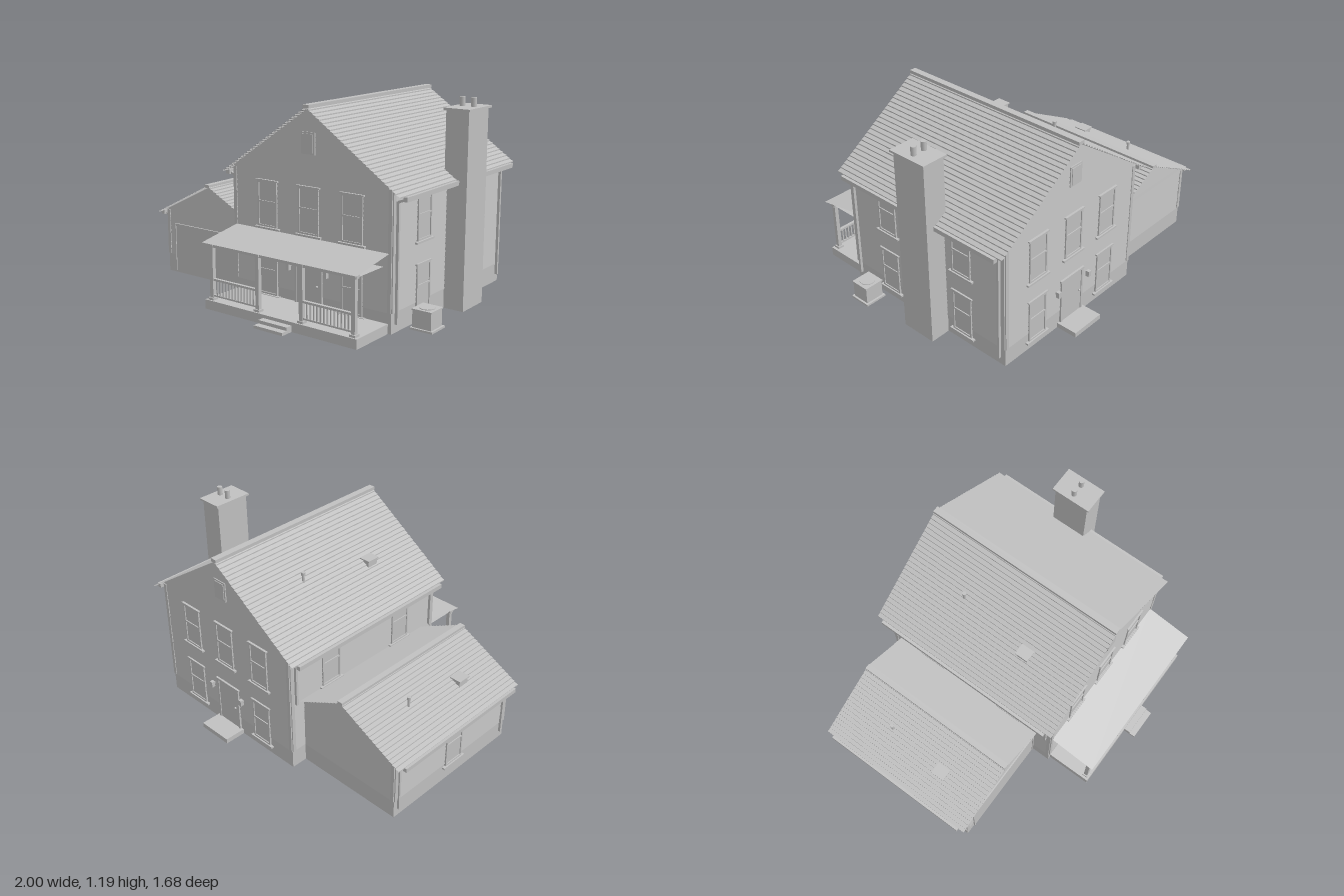
import * as THREE from 'three';

const grey = new THREE.MeshStandardMaterial({ color: 0xc0c0c0, side: THREE.DoubleSide });
grey.name = 'plain grey';

export function createModel() {
  const house = new THREE.Group();
  house.name = 'house';

  const add = (parent, name, geometry) => {
    const mesh = new THREE.Mesh(geometry, grey);
    mesh.name = name;
    parent.add(mesh);
    return mesh;
  };
  // box given by its limits on each axis
  const box = (parent, name, x0, x1, y0, y1, z0, z1) => {
    const m = add(parent, name, new THREE.BoxGeometry(x1 - x0, y1 - y0, z1 - z0));
    m.position.set((x0 + x1) / 2, (y0 + y1) / 2, (z0 + z1) / 2);
    return m;
  };
  const rod = (parent, name, r, x, y0, y1, z) => {
    const m = add(parent, name, new THREE.CylinderGeometry(r, r, y1 - y0, 12));
    m.position.set(x, (y0 + y1) / 2, z);
    return m;
  };
  // flat-faced sheet between two matching rows of points
  const sheet = (parent, name, a, b) => {
    const p = [];
    for (let i = 0; i + 1 < a.length; i++) {
      p.push(...a[i], ...b[i], ...b[i + 1], ...a[i], ...b[i + 1], ...a[i + 1]);
    }
    const g = new THREE.BufferGeometry();
    g.setAttribute('position', new THREE.Float32BufferAttribute(p, 3));
    g.computeVertexNormals();
    return add(parent, name, g);
  };

  // a wall's local frame: x along the wall, +z outward
  const face = (name, x, z, turn) => {
    const g = new THREE.Group();
    g.name = name;
    g.position.set(x, 0, z);
    g.rotation.y = turn;
    house.add(g);
    return g;
  };
  // clapboards between left(y) and right(y)
  const siding = (wall, top, left, right, breaks = []) => {
    const a = [], b = [];
    const levels = [0.115, ...breaks, top];
    for (let k = 0; k + 1 < levels.length; k++) {
      const n = Math.max(1, Math.round((levels[k + 1] - levels[k]) / 0.027));
      for (let i = 0; i < n; i++) {
        const h = (levels[k + 1] - levels[k]) / n, y = levels[k] + i * h;
        for (const [yy, d] of [[y, 0.004], [y + h, 0]]) {
          a.push([left(yy), yy, d]);
          b.push([right(yy), yy, d]);
        }
      }
    }
    sheet(wall, 'siding', b, a);
  };

  // sash window: casing, two panes, meeting rail, sill and head
  const sashWindow = (wall, x, y0) => {
    const g = new THREE.Group();
    g.name = 'window';
    g.position.set(x, y0, 0);
    wall.add(g);
    const w = 0.069, h = 0.262, t = 0.01;
    for (const s of [-1, 1]) box(g, 'casing', s * w - (s > 0 ? t : 0), s * w + (s < 0 ? t : 0), 0, h, -0.01, 0.011);
    for (const y of [0, h * 0.53, h - t]) box(g, 'rail', -w, w, y, y + t, -0.01, 0.011);
    box(g, 'panes', -w, w, 0, h, -0.004, 0.005);
    box(g, 'sill', -0.088, 0.088, -0.013, -0.002, 0, 0.018);
    box(g, 'head', -0.078, 0.078, h, h + 0.008, 0, 0.014);
  };
  const wallLamp = (wall, x) => {
    box(wall, 'lampBracket', x - 0.006, x + 0.006, 0.25, 0.262, 0, 0.02);
    box(wall, 'lamp', x - 0.011, x + 0.011, 0.236, 0.272, 0.01, 0.032);
  };
  const door = (wall, x, y0) => {
    for (const s of [-1, 1]) box(wall, 'doorCasing', x + s * 0.087 - 0.007, x + s * 0.087 + 0.007, y0, 0.312, 0, 0.012);
    box(wall, 'doorHead', x - 0.1, x + 0.1, 0.305, 0.317, 0, 0.014);
    box(wall, 'door', x - 0.08, x + 0.08, y0, 0.305, -0.005, 0.007);
    const knob = add(wall, 'doorKnob', new THREE.SphereGeometry(0.007, 10, 8));
    knob.position.set(x + 0.062, 0.17, 0.013);
  };
  // open-bottomed foundation ring
  const foundation = (name, x0, x1, z0, z1) => {
    const t = 0.025;
    box(house, name, x0, x1, 0, 0.115, z1 - t, z1);
    box(house, name, x0, x1, 0, 0.115, z0, z0 + t);
    box(house, name, x0, x0 + t, 0, 0.115, z0 + t, z1 - t);
    box(house, name, x1 - t, x1, 0, 0.115, z0 + t, z1 - t);
  };
  // stepped shingle courses from the eave up to the ridge
  const shingles = (name, ex, ey, rx, ry, z0, z1, n) => {
    const a = [], b = [];
    const lift = 0.007;
    for (let i = 0; i < n; i++) {
      for (const [t, d] of [[i / n, 0], [i / n, lift], [(i + 1) / n, 0]]) {
        const x = ex + (rx - ex) * t, y = ey + (ry - ey) * t + d;
        a.push([x, y, z0]);
        b.push([x, y, z1]);
      }
    }
    sheet(house, name, a, b);
  };
  const cornerBoards = (wall, a, b, top) => {
    for (const [x0, x1] of [[a, a + 0.022], [b - 0.022, b]]) box(wall, 'cornerBoard', x0, x1, 0.115, top, -0.002, 0.007);
  };

  // ---- main block ----
  const mx = 0.29, my = 1.15, half = 0.54, ms = 0.68, F = 0.48, B = -0.71;
  foundation('mainFoundation', mx - half, mx + half, B, F);
  for (const s of [1, -1]) {
    const wall = face(s > 0 ? 'frontWall' : 'backWall', 0, s > 0 ? F : B, s > 0 ? 0 : Math.PI);
    const c = s * mx;
    const reach = (y) => Math.min(half, Math.max(0, (my - y) / ms));
    siding(wall, my, (y) => c - reach(y), (y) => c + reach(y), [my - half * ms]);
    cornerBoards(wall, c - half, c + half, 0.775);
    for (const x of [0, 0.29, 0.58]) sashWindow(wall, s * x, 0.455);
    for (const x of [0, 0.58]) sashWindow(wall, s * x, 0.06);
    door(wall, c, s > 0 ? 0.055 : 0.03);
    for (const d of [-0.13, 0.13]) wallLamp(wall, c + d);
    box(wall, 'atticWindowCasing', c - 0.046, c + 0.046, 0.9, 1.022, -0.01, 0.009);
    box(wall, 'atticPane', c - 0.036, c + 0.036, 0.91, 1.012, 0, 0.013);
  }
  for (const s of [1, -1]) {
    const wall = face(s > 0 ? 'rightSideWall' : 'leftSideWall', mx + s * half, 0, s * Math.PI / 2);
    const a = s > 0 ? -F : B, b = s > 0 ? -B : F;
    siding(wall, 0.783, () => a, () => b);
    cornerBoards(wall, a, b, 0.775);
    for (const z of [0.175, -0.4]) {
      sashWindow(wall, -s * z, 0.455);
      if (s > 0) sashWindow(wall, -s * z, 0.06);
    }
    // roof slope, gutter and downspouts
    const ex = mx + s * 0.6;
    shingles('mainRoof', ex, my - 0.6 * ms, mx, my + 0.004, -0.745, 0.51, 26);
    const g = ex + s * 0.005;
    box(house, 'gutter', g - 0.013, g + 0.013, 0.717, 0.743, -0.705, 0.465);
    for (const z of [0.445, -0.675]) {
      const wx = mx + s * (half + 0.012);
      box(house, 'downspout', wx - 0.008, wx + 0.008, s > 0 ? 0.05 : 0.44, 0.71, z - 0.007, z + 0.007);
      const elbow = add(house, 'downspoutElbow', new THREE.BoxGeometry(0.06, 0.013, 0.013));
      elbow.position.set((wx + g) / 2, 0.718, z);
      elbow.rotation.z = s * 0.35;
    }
  }
  box(house, 'mainRidgeCap', 0.27, 0.31, 1.15, 1.17, -0.745, 0.51);

  // ---- garage wing ----
  const gx = -0.56, gy = 0.59, gs = 0.5, gl = -0.93, gr = -0.25, GF = 0.355, GB = -0.61;
  foundation('garageFoundation', gl, gr, GB, GF);
  for (const s of [1, -1]) {
    const wall = face(s > 0 ? 'garageFrontWall' : 'garageBackWall', 0, s > 0 ? GF : GB, s > 0 ? 0 : Math.PI);
    const lo = (y) => Math.max(gl, gx - (gy - y) / gs), hi = (y) => Math.min(gr, gx + (gy - y) / gs);
    siding(wall, gy, (y) => (s > 0 ? lo(y) : -hi(y)), (y) => (s > 0 ? hi(y) : -lo(y)), [0.405, 0.435]);
    const edge = s > 0 ? gl : -gl - 0.022;
    box(wall, 'cornerBoard', edge, edge + 0.022, 0.115, 0.4, -0.002, 0.007);
    if (s > 0) {
      box(wall, 'garageDoor', -0.86, -0.265, 0.015, 0.31, -0.005, 0.006);
      for (const x of [-0.866, -0.265]) box(wall, 'garageDoorCasing', x, x + 0.008, 0.015, 0.318, 0, 0.011);
      box(wall, 'garageDoorHead', -0.866, -0.257, 0.31, 0.318, 0, 0.011);
    }
  }
  const garageSide = face('garageSideWall', gl, 0, -Math.PI / 2);
  siding(garageSide, 0.405, () => GB, () => GF);
  cornerBoards(garageSide, GB, GF, 0.4);
  sashWindow(garageSide, -0.12, 0.1);
  shingles('garageRoof', -0.985, gy - 0.425 * gs, gx, gy + 0.004, -0.645, 0.385, 18);
  shingles('garageRoof', gr, gy - 0.31 * gs, gx, gy + 0.004, -0.645, 0.385, 13);
  box(house, 'garageRidgeCap', -0.58, -0.545, 0.587, 0.605, -0.645, 0.385);
  box(house, 'garageGutter', -1, -0.976, 0.357, 0.382, -0.6, 0.345);
  for (const z of [0.32, -0.58]) {
    box(house, 'garageDownspout', -0.945, -0.931, 0.05, 0.35, z - 0.006, z + 0.006);
    const elbow = add(house, 'garageElbow', new THREE.BoxGeometry(0.055, 0.012, 0.012));
    elbow.position.set(-0.963, 0.355, z);
    elbow.rotation.z = -0.3;
  }

  // ---- roof vents ----
  for (const [px, py, pz, bx, by, bz] of [[0.018, 0.95, -0.34, -0.045, 0.94, 0.13], [-0.755, 0.48, -0.31, -0.795, 0.49, 0.08]]) {
    rod(house, 'ventPipe', 0.008, px, py, py + 0.075, pz);
    rod(house, 'ventCollar', 0.012, px, py + 0.06, py + 0.078, pz);
    box(house, 'ventBox', bx - 0.028, bx + 0.035, by - 0.03, by + 0.01, bz - 0.035, bz + 0.035);
    box(house, 'ventLid', bx - 0.036, bx + 0.038, by + 0.008, by + 0.015, bz - 0.042, bz + 0.042);
  }

  // ---- chimney ----
  box(house, 'chimney', 0.815, 0.955, 0, 1.128, -0.28, -0.06);
  box(house, 'chimneyCap', 0.805, 0.968, 1.125, 1.138, -0.295, -0.045);
  for (const x of [0.849, 0.92]) rod(house, 'flue', 0.016, x, 1.13, 1.19, -0.175);

  // ---- porch ----
  box(house, 'porchFloor', -0.23, 0.81, 0, 0.055, 0.47, 0.763);
  box(house, 'porchStep', 0.195, 0.39, 0, 0.036, 0.763, 0.802);
  box(house, 'porchStep', 0.195, 0.39, 0, 0.017, 0.802, 0.84);
  sheet(house, 'porchRoof', [[-0.235, 0.388, 0.775], [0.815, 0.388, 0.775]], [[-0.235, 0.438, 0.48], [0.815, 0.438, 0.48]]);
  sheet(house, 'porchCeiling', [[-0.2, 0.362, 0.745], [0.78, 0.362, 0.745]], [[-0.2, 0.362, 0.48], [0.78, 0.362, 0.48]]);
  box(house, 'porchBeam', -0.215, 0.795, 0.362, 0.386, 0.722, 0.748);
  for (const x of [-0.195, 0.14, 0.44, 0.775]) {
    box(house, 'porchPost', x - 0.012, x + 0.012, 0.055, 0.37, 0.723, 0.747);
    box(house, 'postBase', x - 0.019, x + 0.019, 0.055, 0.068, 0.716, 0.754);
    box(house, 'postCapital', x - 0.019, x + 0.019, 0.368, 0.384, 0.716, 0.754);
  }
  for (const [a, b] of [[-0.183, 0.128], [0.452, 0.763]]) {
    box(house, 'handrail', a, b, 0.168, 0.18, 0.726, 0.744);
    box(house, 'bottomRail', a, b, 0.075, 0.085, 0.729, 0.741);
    for (let i = 1; i <= 13; i++) {
      const x = a + ((b - a) * i) / 14;
      box(house, 'baluster', x - 0.004, x + 0.004, 0.085, 0.168, 0.731, 0.739);
    }
  }
  rod(house, 'porchCeilingLamp', 0.02, 0.29, 0.347, 0.361, 0.62);

  // ---- back step and air conditioner ----
  box(house, 'backStep', 0.18, 0.4, 0, 0.03, -0.842, -0.7);
  box(house, 'conditionerPad', 0.862, 1, 0, 0.012, 0.215, 0.35);
  box(house, 'conditioner', 0.872, 0.988, 0.012, 0.11, 0.228, 0.34);
  box(house, 'conditionerLid', 0.868, 0.992, 0.108, 0.116, 0.224, 0.344);
  rod(house, 'conditionerFan', 0.045, 0.93, 0.114, 0.12, 0.284);

  return house;
}
